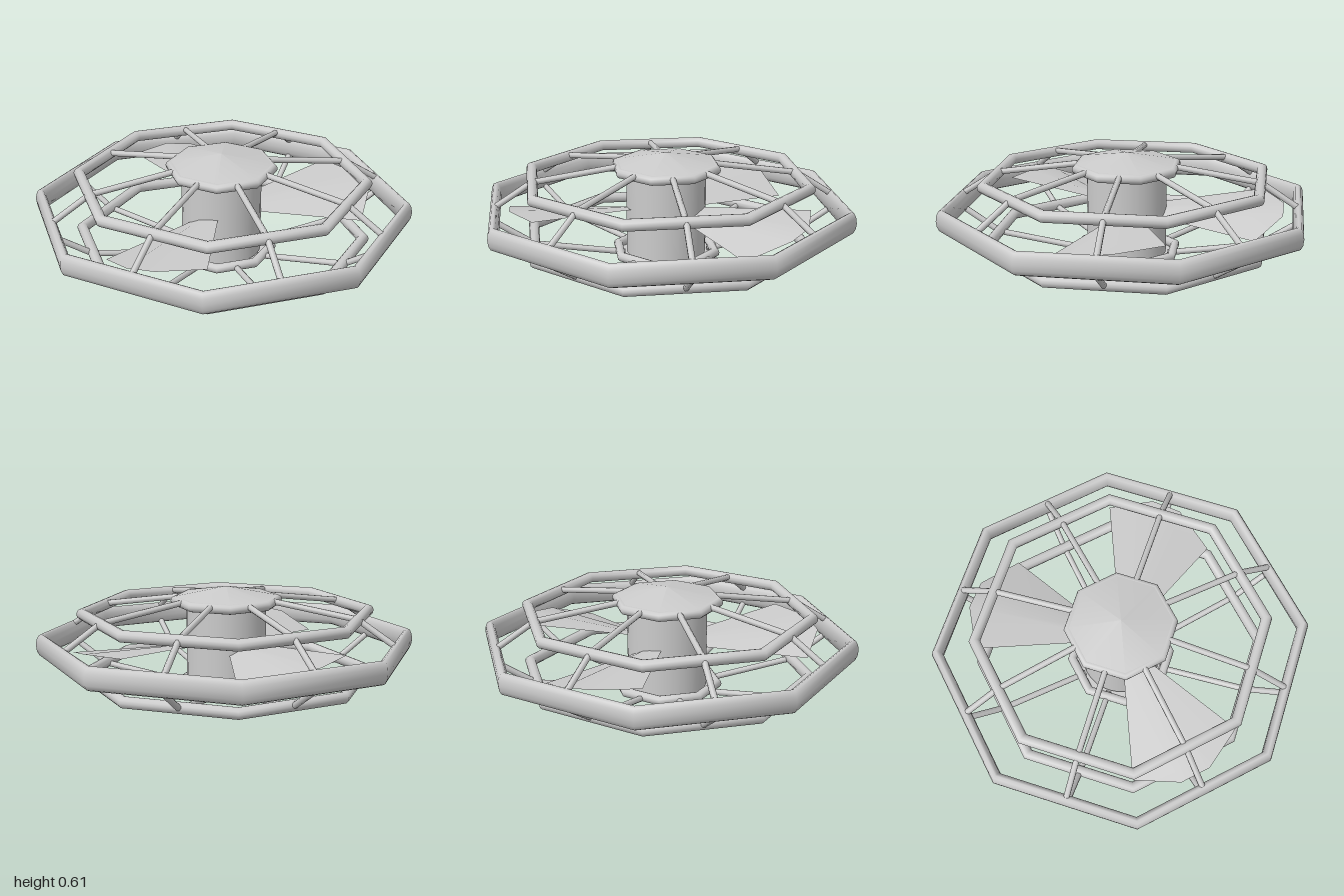
import * as THREE from 'three';

const MID = 0.3025; // height of the fan's middle plane
const SIDES = 8;

export function createModel() {
  const model = new THREE.Group();
  model.name = 'cageFan';
  const grey = new THREE.MeshStandardMaterial({ color: 0xcccccc });
  const thin = new THREE.MeshStandardMaterial({ color: 0xcccccc, side: THREE.DoubleSide });

  const add = (name, geometry, y = 0, material = grey, parent = model) => {
    const mesh = new THREE.Mesh(geometry, material);
    mesh.name = name;
    mesh.position.y = y;
    parent.add(mesh);
    return mesh;
  };

  // Horizontal octagonal ring; stretch makes its section taller than wide
  const ring = (radius, tube, stretch = 1) =>
    new THREE.TorusGeometry(radius, tube, 12, SIDES).rotateX(Math.PI / 2).scale(1, stretch, 1);

  // Round bar between two points
  const bar = (a, b, radius) => {
    const dir = b.clone().sub(a);
    const g = new THREE.CylinderGeometry(radius, radius, dir.length(), 8);
    const turn = new THREE.Quaternion().setFromUnitVectors(new THREE.Vector3(0, 1, 0), dir.normalize());
    const mid = a.clone().add(b).multiplyScalar(0.5);
    return g.applyQuaternion(turn).translate(mid.x, mid.y, mid.z);
  };

  add('outerRing', ring(0.97, 0.03, 2), MID);
  add('motor', new THREE.CylinderGeometry(0.21, 0.21, 0.47, 32), MID);

  // Upper and lower guards: ring, hub cap and bent spokes
  for (const s of [1, -1]) {
    const guard = new THREE.Group();
    guard.name = s > 0 ? 'upperGuard' : 'lowerGuard';
    guard.position.y = MID;
    model.add(guard);
    add('guardRing', ring(0.755, 0.03), s * 0.162, grey, guard);
    add('capRim', ring(0.268, 0.025), s * 0.228, grey, guard);
    const cone = new THREE.ConeGeometry(0.275, 0.052, SIDES);
    if (s < 0) cone.rotateX(Math.PI);
    add('hubCap', cone, s * 0.2765, grey, guard);

    for (let i = 0; i < SIDES; i++) {
      const angle = ((i + 0.5) * Math.PI * 2) / SIDES;
      const at = (r, y) => new THREE.Vector3(Math.cos(angle) * r, s * y, Math.sin(angle) * r);
      add('innerSpoke', bar(at(0.22, 0.24), at(0.7, 0.168), 0.016), 0, grey, guard);
      add('outerSpoke', bar(at(0.7, 0.168), at(0.89, 0.045), 0.016), 0, grey, guard);
    }
  }

  // Cambered blade: columns of [angle in degrees, tip radius, tip height]
  const columns = [[0, 0.765, 0.052], [17, 0.826, 0.042], [28, 0.823, 0.018], [45, 0.74, -0.055]];
  const positions = [];
  const index = [];
  columns.forEach(([degrees, tip, lift], i) => {
    const a = THREE.MathUtils.degToRad(degrees);
    for (const [r, y] of [[0.18, lift * 0.4], [tip, lift]]) {
      positions.push(Math.cos(a) * r, y, Math.sin(a) * r);
    }
    if (i > 0) {
      const k = i * 2;
      index.push(k - 2, k, k - 1, k - 1, k, k + 1);
    }
  });
  const bladeShape = new THREE.BufferGeometry();
  bladeShape.setAttribute('position', new THREE.Float32BufferAttribute(positions, 3));
  bladeShape.setIndex(index);
  bladeShape.computeVertexNormals();

  // Three blades, set on the cage's eighth divisions
  for (const start of [0, 135, 270]) {
    add('blade', bladeShape, MID, thin).rotation.y = -THREE.MathUtils.degToRad(start);
  }

  return model;
}
